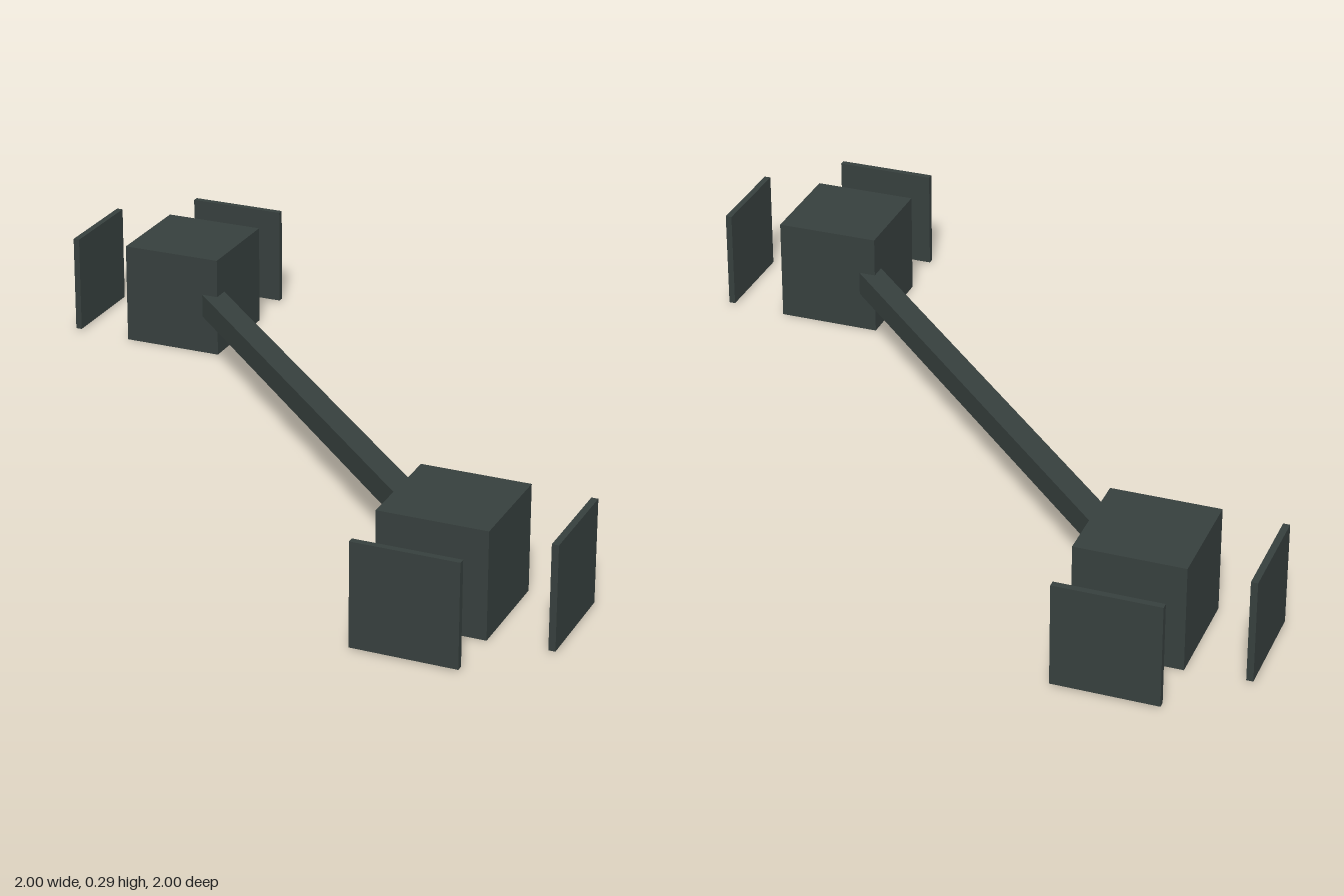
import * as THREE from 'three';

export function createModel() {
  const model = new THREE.Group();
  const darkMetal = new THREE.MeshStandardMaterial({ color: 0x363f3d });
  darkMetal.name = 'darkMetal';

  const CUBE = 0.293, PLATE = 0.283, THICK = 0.018;
  const OFFSET = 0.679, BAR = 0.068;
  const midY = CUBE / 2;

  function addBox(parent, name, size, position) {
    const mesh = new THREE.Mesh(new THREE.BoxGeometry(...size), darkMetal);
    mesh.name = name;
    mesh.position.set(...position);
    parent.add(mesh);
    return mesh;
  }

  // Square bar running diagonally between the two blocks
  const bar = addBox(model, 'connectingBar', [OFFSET * 2 * Math.SQRT2, BAR, BAR], [0, midY, 0]);
  bar.rotation.y = -Math.PI / 4;

  // Each end: a block with two floating plates facing outwards
  ['frontLeftEnd', 'backRightEnd'].forEach((name, i) => {
    const end = new THREE.Group();
    end.name = name;
    const edge = 1 - THICK / 2;
    addBox(end, 'block', [CUBE, CUBE, CUBE], [OFFSET, midY, OFFSET]);
    addBox(end, 'sidePlate', [THICK, PLATE, PLATE], [edge, midY, OFFSET]);
    addBox(end, 'endPlate', [PLATE, PLATE, THICK], [OFFSET, midY, edge]);
    end.rotation.y = i * Math.PI;
    model.add(end);
  });

  return model;
}
